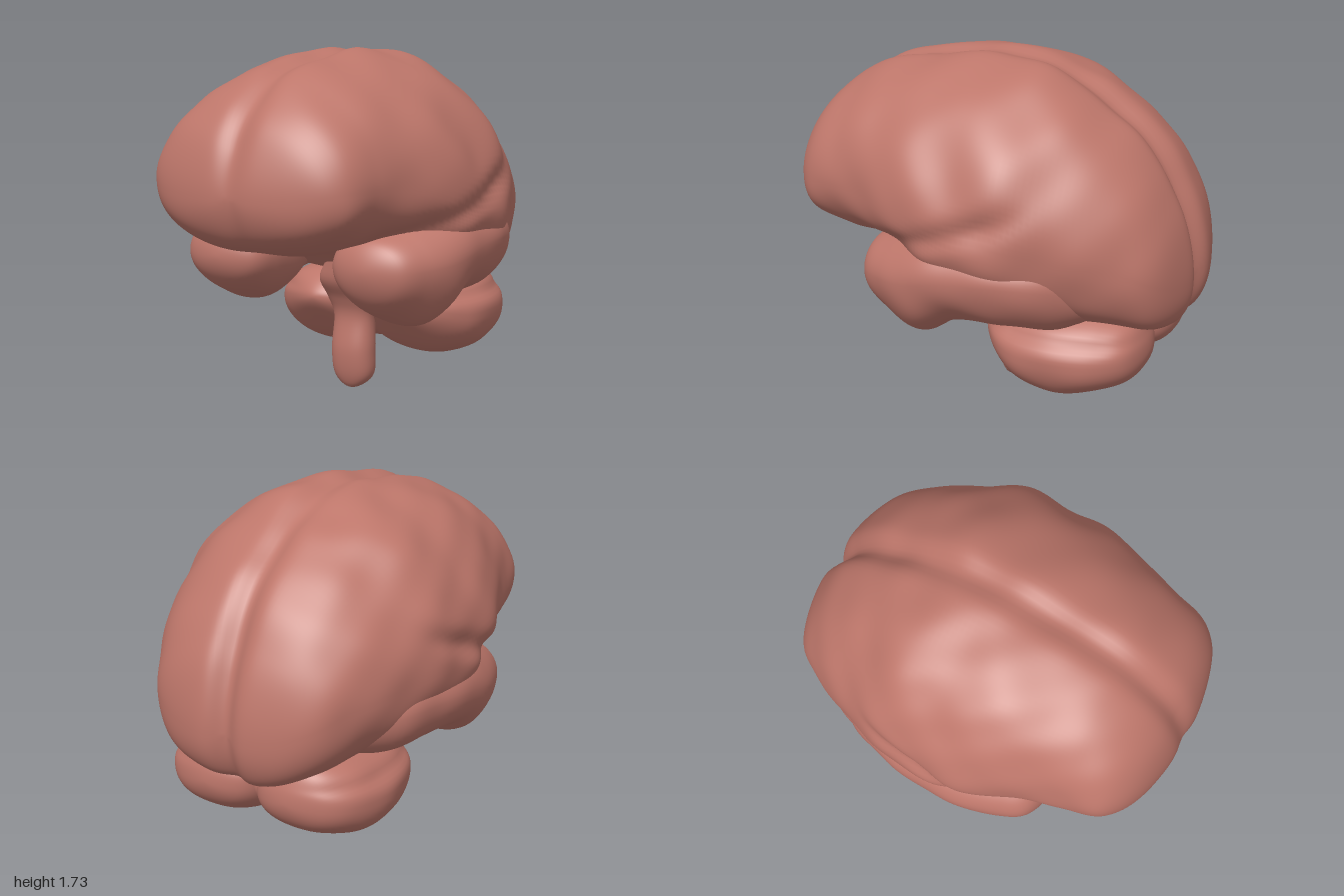
import * as THREE from 'three';
import { mergeVertices } from 'three/addons/utils/BufferGeometryUtils.js';

const bump = (d, w) => Math.exp(-(d * d) / (w * w));

// Smooth interpolation of section rows; ends are reflected so they close roundly
function sampleRows(rows, t) {
  const n = rows.length - 1;
  const i = Math.min(Math.floor(t * n), n - 1), f = t * n - i;
  const mirror = (r) => r.map((v, c) => (c > 2 ? -v : v));
  const p0 = i > 0 ? rows[i - 1] : mirror(rows[1]);
  const p3 = i + 2 <= n ? rows[i + 2] : mirror(rows[n - 1]);
  return rows[i].map((b, c) => {
    const a = p0[c], d = rows[i + 1][c], e = p3[c];
    return b + 0.5 * f * (d - a + f * (2 * a - 5 * b + 4 * d - e + f * (3 * (b - d) + e - a)));
  });
}

// Closed body through sections [z, centreX, centreY, halfWidth, up, down], z descending
function loft(rows, { rings = 64, sides = 64, lower = 2, deform } = {}) {
  const pos = [], index = [];
  for (let i = 0; i <= rings; i++) {
    const [z, cx, cy, hw, up, down] = sampleRows(rows, i / rings);
    for (let j = 0; j < sides; j++) {
      const a = (j / sides) * Math.PI * 2, c = Math.cos(a), s = Math.sin(a);
      const e = s < 0 ? 2 / lower : 1;
      const p = new THREE.Vector3(
        cx + hw * Math.sign(c) * Math.abs(c) ** e,
        cy + (s > 0 ? up : down) * Math.sign(s) * Math.abs(s) ** e, z);
      if (deform) deform(p, cx, cy);
      pos.push(p.x, p.y, p.z);
      if (i < rings) {
        const k = i * sides + j, m = i * sides + ((j + 1) % sides);
        index.push(k, k + sides, m, m, k + sides, m + sides);
      }
    }
  }
  let geo = new THREE.BufferGeometry();
  geo.setAttribute('position', new THREE.Float32BufferAttribute(pos, 3));
  geo.setIndex(index);
  geo = mergeVertices(geo, 1e-5);
  geo.computeVertexNormals();
  return geo;
}

// Soft irregular swelling of the surface
const lumps = ({ x, y, z }) =>
  0.009 * Math.sin(9 * x + 5 * z + 1) * Math.sin(8 * y - 4 * z) +
  0.008 * Math.sin(13 * z + 4 * y + 2) * Math.cos(11 * x - 3 * y) +
  0.005 * Math.sin(19 * y + 9 * x) * Math.sin(17 * z - 6 * x);

function swell(p, cx, cy, k) {
  p.x = cx + (p.x - cx) * k;
  p.y = cy + (p.y - cy) * k;
}

export function createModel() {
  const model = new THREE.Group();
  const flesh = new THREE.MeshStandardMaterial({ color: 0xbd766a });
  flesh.name = 'dusty pink';
  const add = (name, geo) => {
    const mesh = new THREE.Mesh(geo, flesh);
    mesh.name = name;
    model.add(mesh);
    return mesh;
  };

  // Cerebrum with the fissure between the halves and a groove on each flank
  const cerebrumRows = [
    [1.01, 0, 1.08, 0, 0, 0],
    [0.96, 0, 1.09, 0.34, 0.22, 0.17],
    [0.85, 0, 1.12, 0.52, 0.36, 0.29],
    [0.65, 0, 1.13, 0.59, 0.49, 0.34],
    [0.45, 0, 1.12, 0.65, 0.56, 0.33],
    [0.2, 0, 1.05, 0.74, 0.67, 0.35],
    [0, 0, 1.0, 0.76, 0.73, 0.38],
    [-0.25, 0, 1.0, 0.75, 0.7, 0.44],
    [-0.5, 0, 0.95, 0.66, 0.63, 0.43],
    [-0.75, 0, 0.9, 0.55, 0.49, 0.41],
    [-0.9, 0, 0.82, 0.43, 0.34, 0.33],
    [-0.98, 0, 0.75, 0.24, 0.2, 0.17],
    [-1.01, 0, 0.73, 0, 0, 0],
  ];
  add('cerebrum', loft(cerebrumRows, {
    rings: 110, sides: 144, lower: 2.4,
    deform(p, cx, cy) {
      const flank = THREE.MathUtils.smoothstep(Math.abs(p.x), 0.4, 0.6)
        * THREE.MathUtils.smoothstep(p.z, -0.45, -0.15);
      const groove = 0.05 * flank * bump(p.y - (0.84 + (0.5 - p.z) * 0.36), 0.06);
      swell(p, cx, cy, 1 + 1.3 * lumps(p) - groove);
      const mid = bump(p.x, 0.07);
      if (p.y > cy) p.y -= 0.035 * mid * Math.min(1, (p.y - cy) * 4);
      p.z *= 1 - mid * (p.z > 0 ? 0.02 : 0.055);
    },
  }));

  // Temporal lobes; the +x one hangs a little lower
  const temporalRows = [
    [0.55, 0.42, 0.72, 0, 0, 0],
    [0.5, 0.42, 0.72, 0.18, 0.13, 0.14],
    [0.37, 0.43, 0.73, 0.26, 0.18, 0.25],
    [0.2, 0.45, 0.75, 0.3, 0.22, 0.33],
    [0.02, 0.465, 0.79, 0.3, 0.2, 0.27],
    [-0.25, 0.46, 0.81, 0.28, 0.18, 0.27],
    [-0.5, 0.41, 0.79, 0.23, 0.16, 0.24],
    [-0.75, 0.33, 0.72, 0, 0, 0],
  ];
  // Cerebellum halves with a shallow crease round the side
  const cerebellumRows = [
    [0, 0.22, 0.45, 0, 0, 0],
    [-0.1, 0.24, 0.43, 0.21, 0.13, 0.12],
    [-0.25, 0.26, 0.4, 0.29, 0.19, 0.21],
    [-0.45, 0.27, 0.4, 0.31, 0.2, 0.24],
    [-0.65, 0.26, 0.4, 0.28, 0.2, 0.2],
    [-0.79, 0.24, 0.4, 0.19, 0.15, 0.12],
    [-0.84, 0.23, 0.4, 0, 0, 0],
  ];
  for (const side of [1, -1]) {
    const label = side > 0 ? 'left' : 'right';
    const place = (rows, drop) => rows.map(([z, cx, cy, w, up, down]) => [z, cx * side, cy, w, up, down * drop]);
    add(label + 'TemporalLobe', loft(place(temporalRows, side > 0 ? 1 : 0.87), {
      deform: (p, cx, cy) => swell(p, cx, cy, 1 + 2 * lumps(p)),
    }));
    add(label + 'Cerebellum', loft(place(cerebellumRows, 1), {
      lower: 2.3,
      deform: (p, cx, cy) => swell(p, cx, cy, 1 + 2 * lumps(p) - 0.06 * bump(p.y - 0.49, 0.03)),
    }));
  }

  // Bridge between the cerebellum halves
  const vermis = add('vermis', new THREE.SphereGeometry(1, 32, 20));
  vermis.scale.set(0.15, 0.19, 0.32);
  vermis.position.set(0, 0.4, -0.42);

  // Brain stem: sections run down the y axis, then stand upright
  const stemRows = [
    [0.92, 0, 0.05, 0, 0, 0],
    [0.85, 0, 0.02, 0.1, 0.16, 0.16],
    [0.7, 0, 0.02, 0.1, 0.15, 0.14],
    [0.57, 0, 0.02, 0.16, 0.14, 0.13],
    [0.47, 0, 0.05, 0.14, 0.11, 0.1],
    [0.37, 0, 0.06, 0.11, 0.09, 0.08],
    [0.2, 0, 0.05, 0.115, 0.1, 0.09],
    [0.06, 0, 0.055, 0.1, 0.08, 0.075],
    [0, 0, 0.03, 0, 0, 0],
  ];
  add('brainStem', loft(stemRows, { rings: 48, sides: 40, lower: 2.3 }).rotateX(-Math.PI / 2));

  return model;
}
